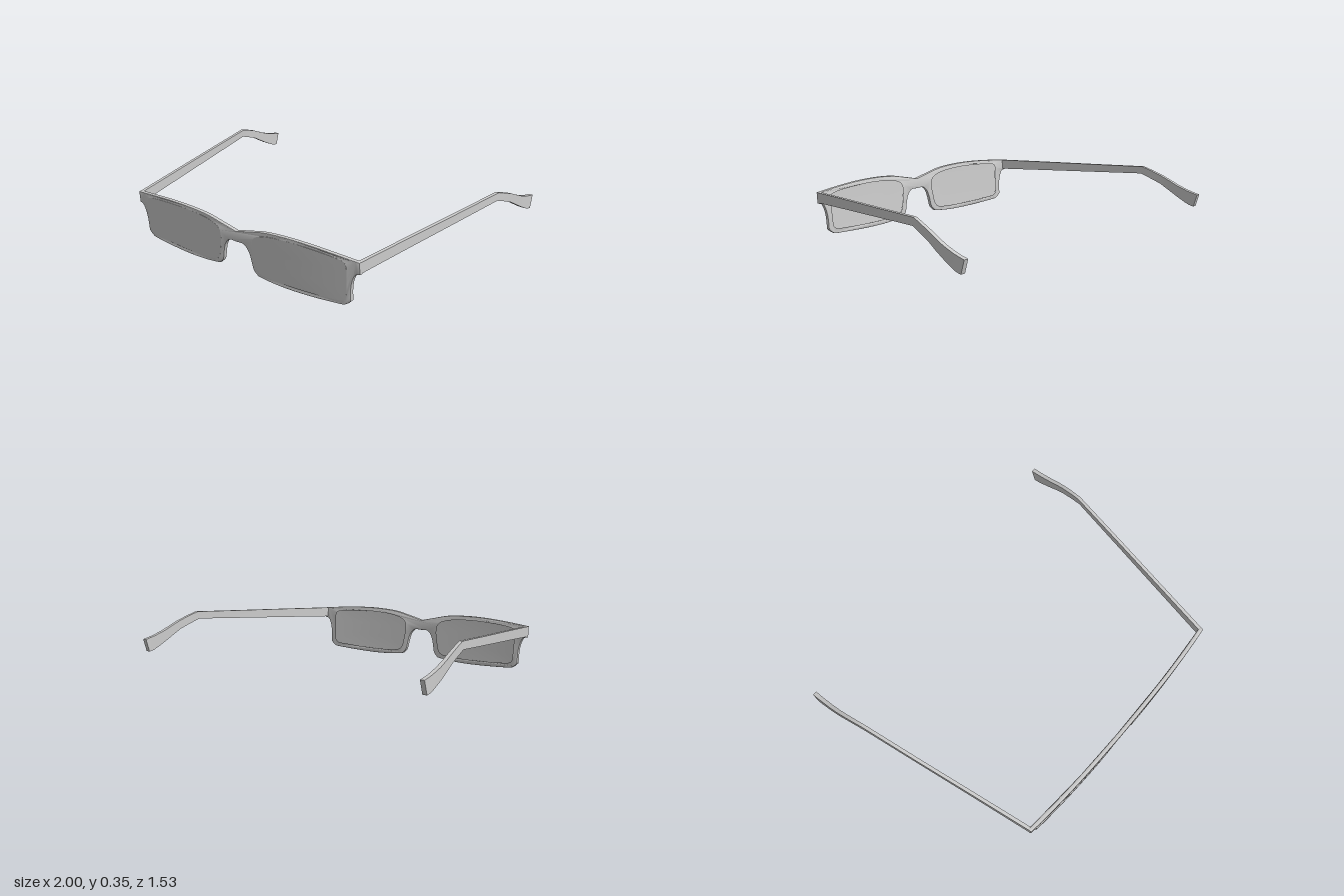
import * as THREE from 'three';
import { toCreasedNormals } from 'three/addons/utils/BufferGeometryUtils.js';

const material = new THREE.MeshStandardMaterial({ color: 0xcccccc });
const THICK = 0.025;

// Front face of the frame: wraps back towards the sides and leans back at the bottom
const faceZ = (x, y) => 0.76 - 0.063 * Math.abs(x) ** 2.5 + 0.065 * (y - 0.27);

// Smooth run of points through a few [x, y] pairs
const run = (pairs, n) =>
  new THREE.CatmullRomCurve3(pairs.map(([x, y]) => new THREE.Vector3(x, y, 0)))
    .getPoints(n).map((p) => new THREE.Vector2(p.x, p.y));

const mirrored = (pts) => pts.map((p) => new THREE.Vector2(-p.x, p.y)).reverse();

// Half outline, from the bridge top round the lens to the bridge underside
const halfOutline = [
  ...run([[0, 0.25], [0.1, 0.273], [0.2, 0.294], [0.35, 0.304], [0.5, 0.302], [0.65, 0.292], [0.785, 0.28]], 36),
  ...run([[0.785, 0.213], [0.76, 0.206], [0.741, 0.17], [0.731, 0.12], [0.729, 0.048]], 16),
  ...run([[0.712, 0.031], [0.69, 0.017]], 2),
  ...run([[0.67, 0.014], [0.52, 0.005], [0.35, 0.001], [0.22, 0.007], [0.14, 0.017]], 24),
  ...run([[0.125, 0.03], [0.11, 0.048], [0.098, 0.1], [0.086, 0.143], [0.068, 0.172], [0.046, 0.186], [0, 0.186]], 18),
];

// Opening for one lens
const lensOutline = [
  ...run([[0.122, 0.225], [0.14, 0.246], [0.2, 0.268], [0.35, 0.283], [0.5, 0.281], [0.66, 0.268], [0.692, 0.258], [0.703, 0.235]], 36),
  ...run([[0.703, 0.2], [0.7, 0.12], [0.692, 0.055], [0.665, 0.038]], 12),
  ...run([[0.64, 0.036], [0.5, 0.028], [0.35, 0.025], [0.22, 0.03], [0.175, 0.036]], 24),
  ...run([[0.155, 0.045], [0.138, 0.07], [0.127, 0.12], [0.116, 0.18]], 12),
];

// Rims, bridge and end pieces in one bent plate
function frontFrame() {
  const shape = new THREE.Shape([...halfOutline, ...mirrored(halfOutline).slice(1, -1)]);
  shape.holes.push(new THREE.Path(lensOutline), new THREE.Path(mirrored(lensOutline)));
  const bevel = 0.004;
  const geo = new THREE.ExtrudeGeometry(shape, {
    depth: THICK - 2 * bevel, bevelThickness: bevel, bevelSize: bevel,
    bevelOffset: -bevel, bevelSegments: 2,
  });
  const p = geo.attributes.position;
  for (let i = 0; i < p.count; i++) {
    p.setZ(i, faceZ(p.getX(i), p.getY(i)) - THICK + bevel + p.getZ(i));
  }
  return toCreasedNormals(geo, 0.6);
}

// Thin solid lens, almost flush in front and recessed behind:
// rings of the clockwise opening from the front centre over the edge to the back centre
function lens(outline) {
  const rings = [[0, -0.001], [0.35, -0.001], [0.7, -0.001], [1.02, -0.0005],
    [1.02, 0.012], [0.7, 0.011], [0.35, 0.011], [0, 0.011]];
  const n = outline.length;
  const last = rings.length - 1;
  const c = new THREE.Box2().setFromPoints(outline).getCenter(new THREE.Vector2());
  const pos = [];
  const idx = [];
  rings.forEach(([scale, depth], r) => outline.forEach((q, i) => {
    const x = c.x + (q.x - c.x) * scale;
    const y = c.y + (q.y - c.y) * scale;
    pos.push(x, y, faceZ(x, y) - depth);
    const a = r * n + i;
    const b = r * n + (i + 1) % n;
    if (r > 0 && r < last) idx.push(a, b, a + n);
    if (r < last - 1) idx.push(b, b + n, a + n);
  }));
  const geo = new THREE.BufferGeometry();
  geo.setAttribute('position', new THREE.Float32BufferAttribute(pos, 3));
  geo.setIndex(idx);
  return toCreasedNormals(geo, 0.6);
}

// Temple sections: z at top, z at bottom, centre x, top y, bottom y, width
const sections = [
  [0.717, 0.717, 0.774, 0.279, 0.217, 0.021],
  [0.35, 0.35, 0.836, 0.302, 0.246, 0.02],
  [0, 0, 0.896, 0.323, 0.273, 0.02],
  [-0.37, -0.36, 0.957, 0.346, 0.301, 0.02],
  [-0.43, -0.43, 0.966, 0.328, 0.277, 0.021],
  [-0.5, -0.5, 0.975, 0.304, 0.251, 0.022],
  [-0.56, -0.56, 0.981, 0.279, 0.218, 0.023],
  [-0.62, -0.62, 0.984, 0.254, 0.186, 0.024],
  [-0.69, -0.68, 0.986, 0.232, 0.157, 0.024],
  [-0.73, -0.71, 0.987, 0.223, 0.145, 0.025],
  [-0.765, -0.742, 0.987, 0.216, 0.14, 0.026],
];

function temple(side) {
  const n = sections.length - 1;
  const geo = new THREE.BoxGeometry(1, 1, 1, 1, 1, n);
  const p = geo.attributes.position;
  for (let i = 0; i < p.count; i++) {
    const [zt, zb, x, top, bottom, w] = sections[Math.round((0.5 - p.getZ(i)) * n)];
    const up = p.getY(i) > 0;
    p.setXYZ(i, side * x + p.getX(i) * w, up ? top : bottom, up ? zt : zb);
  }
  return toCreasedNormals(geo, 0.6);
}

export function createModel() {
  const group = new THREE.Group();
  group.name = 'eyeglasses';
  const add = (name, geo) => {
    const mesh = new THREE.Mesh(geo, material);
    mesh.name = name;
    group.add(mesh);
  };
  add('frontFrame', frontFrame());
  add('leftLens', lens(lensOutline));
  add('rightLens', lens(mirrored(lensOutline)));
  add('leftTemple', temple(1));
  add('rightTemple', temple(-1));
  return group;
}
